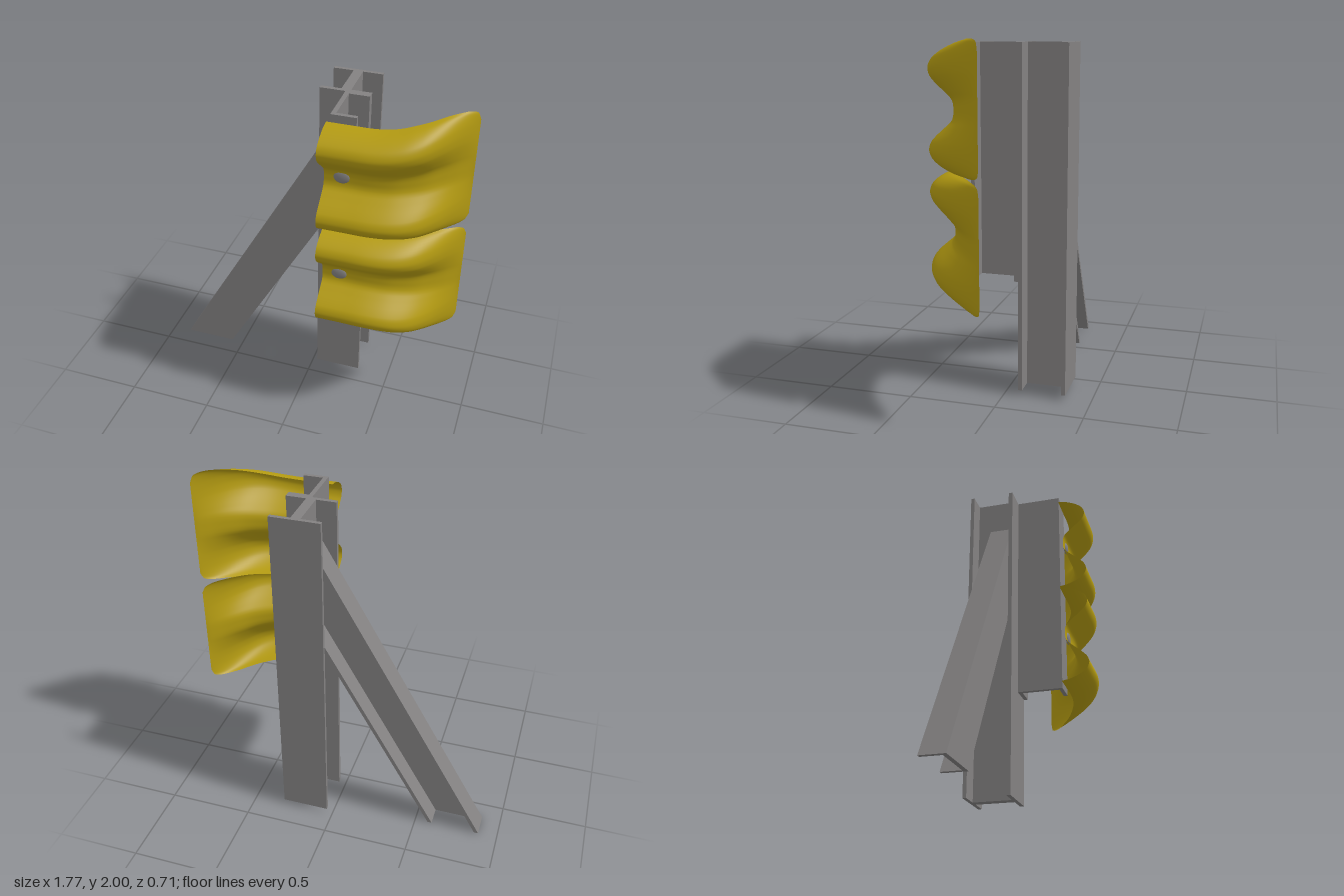
import * as THREE from 'three';

const steel = new THREE.MeshStandardMaterial({ color: 0x838181 });
steel.name = 'grey steel';
const yellow = new THREE.MeshStandardMaterial({ color: 0xb59c12, side: THREE.DoubleSide });
yellow.name = 'yellow paint';

// Box given by its limits on each axis
function slab(name, [x0, x1], [y0, y1], [z0, z1]) {
  const mesh = new THREE.Mesh(new THREE.BoxGeometry(x1 - x0, y1 - y0, z1 - z0), steel);
  mesh.position.set((x0 + x1) / 2, (y0 + y1) / 2, (z0 + z1) / 2);
  mesh.name = name;
  return mesh;
}

// Flat plate cut from an x-y outline, between two depths
function plate(name, points, z0, z1) {
  const shape = new THREE.Shape(points.map(([x, y]) => new THREE.Vector2(x, y)));
  const geo = new THREE.ExtrudeGeometry(shape, { depth: z1 - z0, bevelEnabled: false });
  geo.translate(0, 0, z0);
  const mesh = new THREE.Mesh(geo, steel);
  mesh.name = name;
  return mesh;
}

function group(name, ...parts) {
  const g = new THREE.Group();
  g.name = name;
  g.add(...parts);
  return g;
}

// Half of the double-wave section: [height fraction, depth fraction]
const half = [[0, 0], [0.02, 0.36], [0.07, 0.75], [0.12, 0.94], [0.17, 1], [0.22, 0.95],
  [0.27, 0.8], [0.36, 0.42], [0.42, 0.2], [0.46, 0.155]];
const wave = new THREE.CatmullRomCurve3(
  [...half, [0.5, 0.15], ...half.slice().reverse().map(([v, f]) => [1 - v, f])]
    .map(([v, f]) => new THREE.Vector3(v, f, 0)));

// Stations along the rail: [x, front z, back z, near edge, far edge]
const stations = [
  [0.155, 0.355, 0.19, 0.005, 0.612], [0.29, 0.355, 0.19, 0.005, 0.612],
  [0.42, 0.355, 0.19, 0.005, 0.614], [0.52, 0.34, 0.178, 0.004, 0.625],
  [0.6, 0.31, 0.15, 0.001, 0.642], [0.67, 0.26, 0.115, 0, 0.658],
  [0.74, 0.175, 0.065, 0.002, 0.674], [0.8, 0.08, 0.02, 0.007, 0.681],
  [0.84, 0.018, -0.015, 0.014, 0.679], [0.87, -0.028, -0.04, 0.03, 0.665],
  [0.885, -0.05, -0.05, 0.065, 0.625]];
const depthPath = new THREE.CatmullRomCurve3(
  stations.map(([x, front, back]) => new THREE.Vector3(x, front, back)));
const edgePath = new THREE.CatmullRomCurve3(
  stations.map(([x, , , near, far]) => new THREE.Vector3(x, near, far)));

// Wavy rail that flattens and sweeps back; dir = 1 above the seam, -1 below it
function rail(name, dir) {
  const nx = 40, ny = 72, pos = [], index = [];
  for (let i = 0; i <= nx; i++) {
    const d = depthPath.getPoint(i / nx), e = edgePath.getPoint(i / nx);
    for (let j = 0; j <= ny; j++) {
      const w = wave.getPoint(j / ny);
      pos.push(d.x, 1.32 + dir * (e.y + (e.z - e.y) * w.x), d.z + (d.y - d.z) * w.y);
      if (i < nx && j < ny) {
        const a = i * (ny + 1) + j, b = a + ny + 1;
        if (dir > 0) index.push(a, b, b + 1, a, b + 1, a + 1);
        else index.push(a, b + 1, b, a, a + 1, b + 1);
      }
    }
  }
  const geo = new THREE.BufferGeometry();
  geo.setAttribute('position', new THREE.Float32BufferAttribute(pos, 3));
  geo.setIndex(index);
  geo.computeVertexNormals();
  const mesh = new THREE.Mesh(geo, yellow);
  mesh.name = name;
  return mesh;
}

// Low domed bolt head in the valley of a rail
function bolt(y) {
  const mesh = new THREE.Mesh(new THREE.SphereGeometry(1, 20, 12), steel);
  mesh.scale.set(0.045, 0.037, 0.012);
  mesh.position.set(0.25, y, 0.212);
  mesh.name = 'bolt';
  return mesh;
}

// Points on the sloping brace, found from where it meets the ground
const slope = 1.745;
const onBrace = (x0, x) => [x, (x - x0) * slope];

export function createModel() {
  const model = new THREE.Group();
  model.name = 'guardRailEnd';

  const tall = [0.03, 1.975];
  model.add(group('post',
    slab('postBackFlange', [0.035, 0.312], tall, [-0.355, -0.333]),
    slab('postFrontFlange', [0.035, 0.312], tall, [-0.104, -0.08]),
    slab('postWeb', [0.147, 0.2], tall, [-0.333, -0.104])));

  const upper = [0.672, 1.975];
  model.add(group('spacer',
    slab('spacerWeb', [0.175, 0.2], upper, [-0.08, 0.188]),
    slab('spacerBackFlange', [0.2, 0.312], upper, [-0.08, -0.057]),
    slab('spacerFrontFlange', [0.2, 0.312], upper, [0.165, 0.188])));

  // Channel brace, open to the back, its head trimmed against the post
  const lo = -0.577, hi = -0.888, t = 0.025, end = 0.147, cut = 0.12;
  const top = onBrace(hi, cut);
  model.add(group('brace',
    plate('braceWeb', [[hi, 0], [lo, 0], onBrace(lo, end), [end, top[1]], top], -0.133, -0.108),
    plate('braceUpperFlange', [[hi, 0], [hi + t, 0], onBrace(hi + t, end), top], -0.247, -0.133),
    plate('braceLowerFlange', [[lo - t, 0], [lo, 0], onBrace(lo, end), onBrace(lo - t, end)],
      -0.247, -0.133)));

  model.add(rail('upperRail', 1), rail('lowerRail', -1), bolt(1.64), bolt(1.015));
  return model;
}
